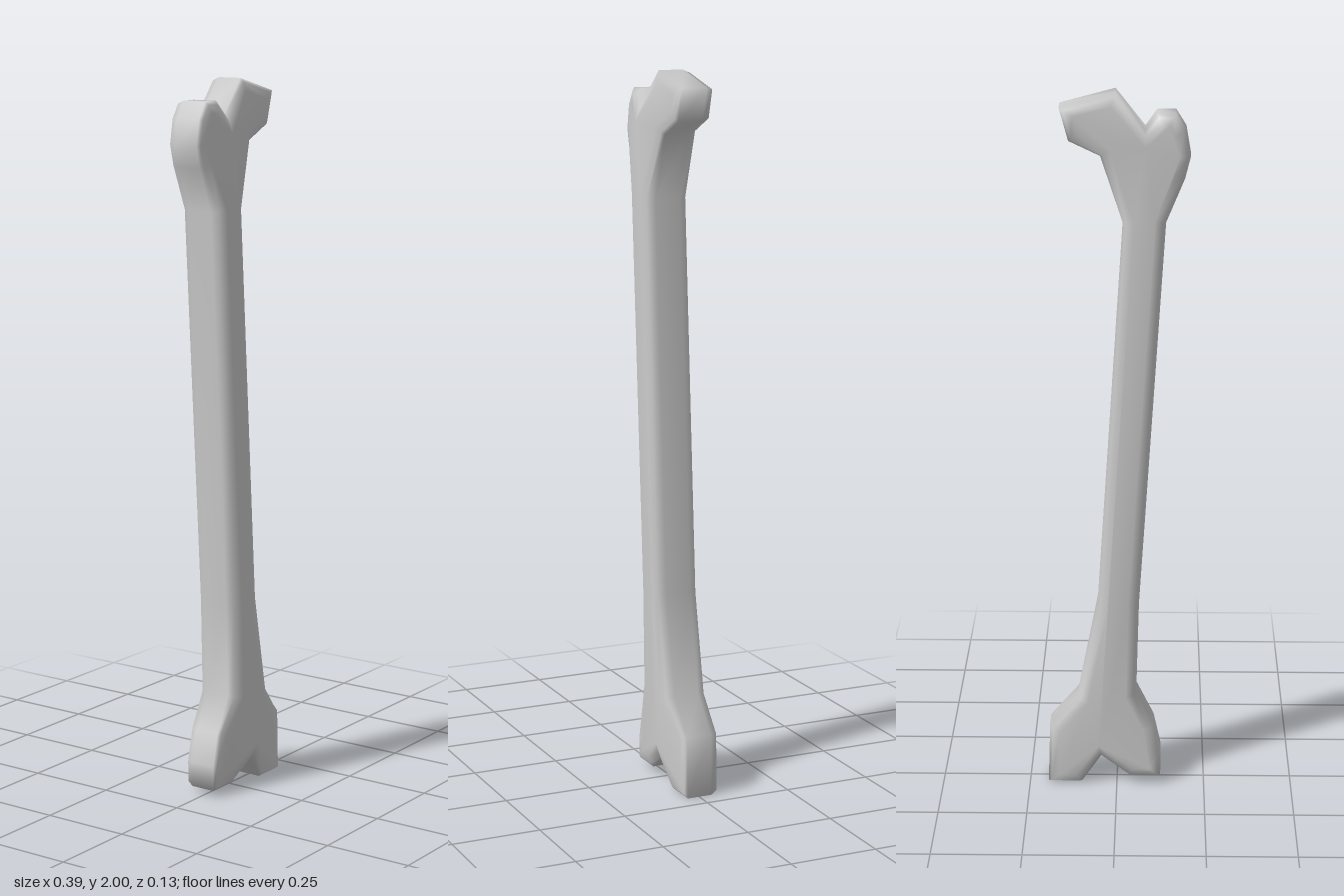
import * as THREE from 'three';
import { mergeVertices } from 'three/addons/utils/BufferGeometryUtils.js';

// Bone silhouette, counter-clockwise from the lower left
const OUTLINE = [
  [-0.125, 0.02], [-0.035, 0.02], [0.045, 0.08], [0.1, 0], [0.197, 0], [0.192, 0.175],
  [0.11, 0.27], [0.055, 0.55], [-0.015, 1.65], [0.045, 1.83], [0.13, 1.87], [0.155, 1.96],
  [0.005, 2], [-0.075, 1.9], [-0.108, 1.945], [-0.157, 1.945], [-0.185, 1.9], [-0.197, 1.83],
  [-0.182, 1.77], [-0.132, 1.65], [-0.062, 0.55], [-0.055, 0.28], [-0.105, 0.18], [-0.125, 0.09],
];
const BEVEL = 0.03, SIDE_BACK = -0.037, SIDE_FRONT = 0.035;

// Front height: full along the shaft's axis, lower on the knobs
function frontHeight(x, y) {
  const a = new THREE.Vector3(0.045, 0.12, 0), b = new THREE.Vector3(-0.07, 1.85, 0);
  const p = new THREE.Vector3(x, y, 0);
  const near = new THREE.Line3(a, b).closestPointToPoint(p, true, new THREE.Vector3());
  return THREE.MathUtils.mapLinear(
    THREE.MathUtils.clamp(p.distanceTo(near), 0.06, 0.1), 0.06, 0.1, 0.067, 0.045);
}

export function createModel() {
  const shape = new THREE.Shape(OUTLINE.map(([x, y]) => new THREE.Vector2(x, y)));
  let geometry = new THREE.ExtrudeGeometry(shape, {
    depth: SIDE_FRONT - SIDE_BACK, bevelEnabled: true, bevelSegments: 2,
    bevelSize: BEVEL, bevelThickness: BEVEL, bevelOffset: -BEVEL,
  });
  geometry.translate(0, 0, SIDE_BACK);

  // Thin the front of the knobs
  const pos = geometry.attributes.position;
  for (let i = 0; i < pos.count; i++) {
    const z = pos.getZ(i);
    if (z <= SIDE_FRONT + 1e-5) continue;
    const t = (z - SIDE_FRONT) / BEVEL;
    pos.setZ(i, SIDE_FRONT + t * (frontHeight(pos.getX(i), pos.getY(i)) - SIDE_FRONT));
  }

  // Weld for smooth shading
  geometry.deleteAttribute('normal');
  geometry.deleteAttribute('uv');
  geometry = mergeVertices(geometry, 1e-4);
  geometry.computeVertexNormals();

  const bone = new THREE.Mesh(geometry, new THREE.MeshStandardMaterial({ color: 0xcccccc }));
  bone.name = 'bone';
  const group = new THREE.Group();
  group.name = 'boneModel';
  group.add(bone);
  return group;
}
